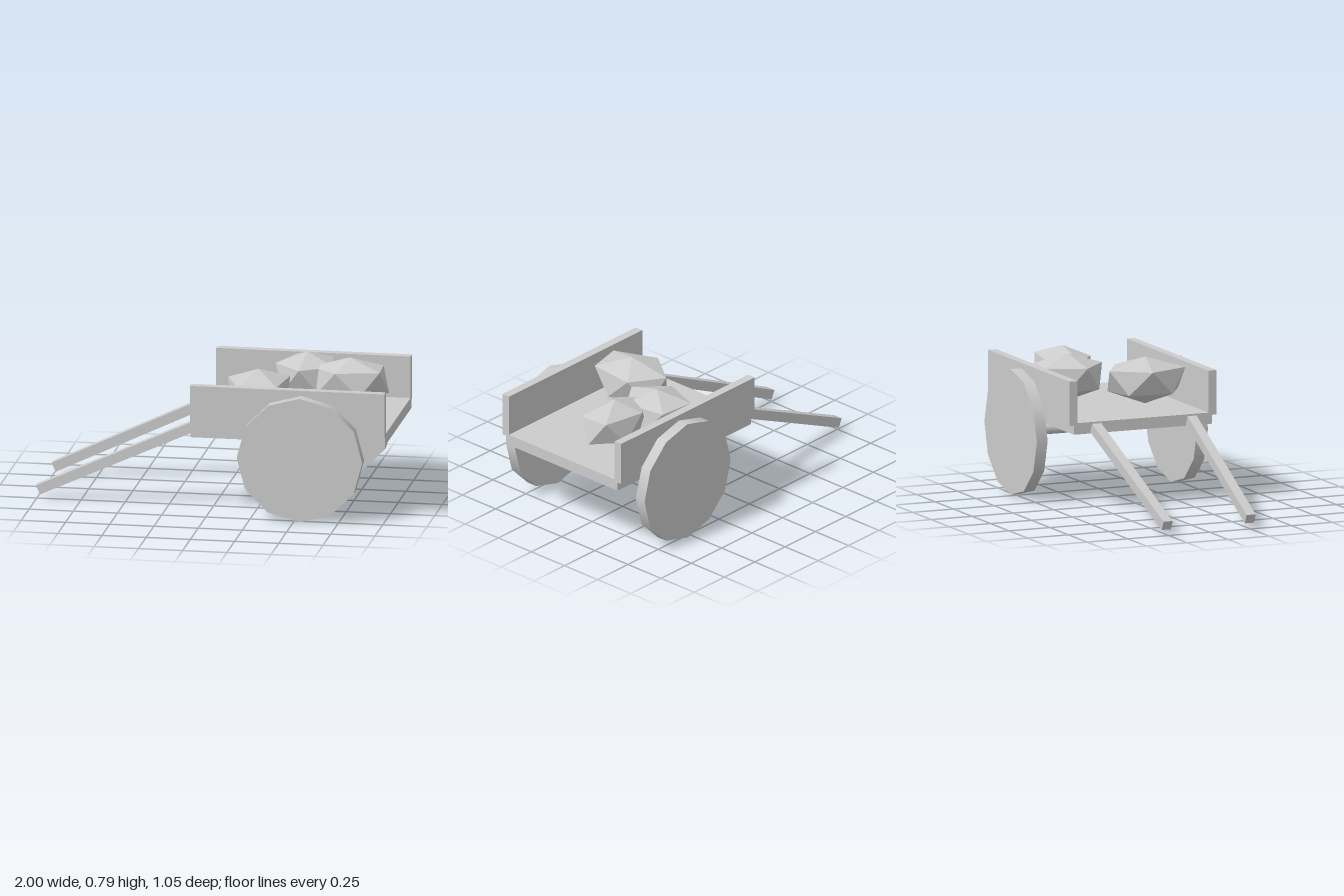
import * as THREE from 'three';
import { ConvexGeometry } from 'three/addons/geometries/ConvexGeometry.js';

const grey = new THREE.MeshStandardMaterial({ color: 0xcccccc });
const faceted = new THREE.MeshStandardMaterial({ color: 0xcccccc, flatShading: true });

function addPart(group, name, geometry, x, y, z, material = grey) {
  const mesh = new THREE.Mesh(geometry, material);
  mesh.name = name;
  mesh.position.set(x, y, z);
  group.add(mesh);
  return mesh;
}

// Handle bar: a tilted box, sheared so that it leans inward toward its tip
function handleGeometry(side) {
  const start = new THREE.Vector3(-0.107, 0.467, 0.292);
  const end = new THREE.Vector3(-0.988, 0.055, 0.254);
  const dx = start.x - end.x, dy = start.y - end.y;
  const geo = new THREE.BoxGeometry(Math.hypot(dx, dy), 0.056, 0.056);
  geo.rotateZ(Math.atan2(dy, dx));
  const slope = (start.z - end.z) / dx;
  const p = geo.attributes.position;
  for (let i = 0; i < p.count; i++) p.setZ(i, p.getZ(i) + side * slope * p.getX(i));
  geo.translate((start.x + end.x) / 2, (start.y + end.y) / 2, side * (start.z + end.z) / 2);
  geo.computeVertexNormals();
  return geo;
}

// Twenty-sided rock: two poles and two staggered rings of five points
function rockGeometry(rx, rz, phase, lowerScale) {
  const points = [new THREE.Vector3(0, 0.135, 0), new THREE.Vector3(0, -0.13, 0)];
  for (let i = 0; i < 5; i++) {
    const a = THREE.MathUtils.degToRad(phase + 72 * i);
    const b = a + Math.PI / 5;
    points.push(new THREE.Vector3(rx * Math.cos(a), 0.073, rz * Math.sin(a)));
    points.push(new THREE.Vector3(lowerScale * rx * Math.cos(b), -0.06, lowerScale * rz * Math.sin(b)));
  }
  return new ConvexGeometry(points);
}

export function createModel() {
  const cart = new THREE.Group();
  cart.name = 'handCart';

  // Flat bed and axle
  addPart(cart, 'bed', new THREE.BoxGeometry(1.1, 0.064, 0.844), 0.45, 0.467, 0);
  const axle = new THREE.CylinderGeometry(0.032, 0.032, 0.96, 16).rotateX(Math.PI / 2);
  addPart(cart, 'axle', axle, 0.533, 0.357, 0);

  // Mirrored side boards, wheels and handles
  const board = new THREE.BoxGeometry(1.1, 0.252, 0.049);
  const wheel = new THREE.CylinderGeometry(0.355, 0.355, 0.066, 12).rotateX(Math.PI / 2);
  for (const side of [1, -1]) {
    const label = side > 0 ? 'front' : 'back';
    addPart(cart, label + 'SideBoard', board, 0.45, 0.611, side * 0.4245);
    addPart(cart, label + 'Wheel', wheel, 0.533, 0.355, side * 0.49);
    addPart(cart, label + 'Handle', handleGeometry(side), 0, 0, 0);
  }

  // Load of rocks: x, y, z, x radius, z radius, ring phase, lower ring scale
  const rocks = [
    [0.24, 0.644, 0.166, 0.18, 0.235, -100, 0.93],
    [0.45, 0.655, -0.213, 0.178, 0.205, -121, 0.94],
    [0.705, 0.655, -0.128, 0.22, 0.15, -110, 1],
  ];
  rocks.forEach(([x, y, z, rx, rz, phase, lower], i) =>
    addPart(cart, 'rock' + (i + 1), rockGeometry(rx, rz, phase, lower), x, y, z, faceted));

  return cart;
}
